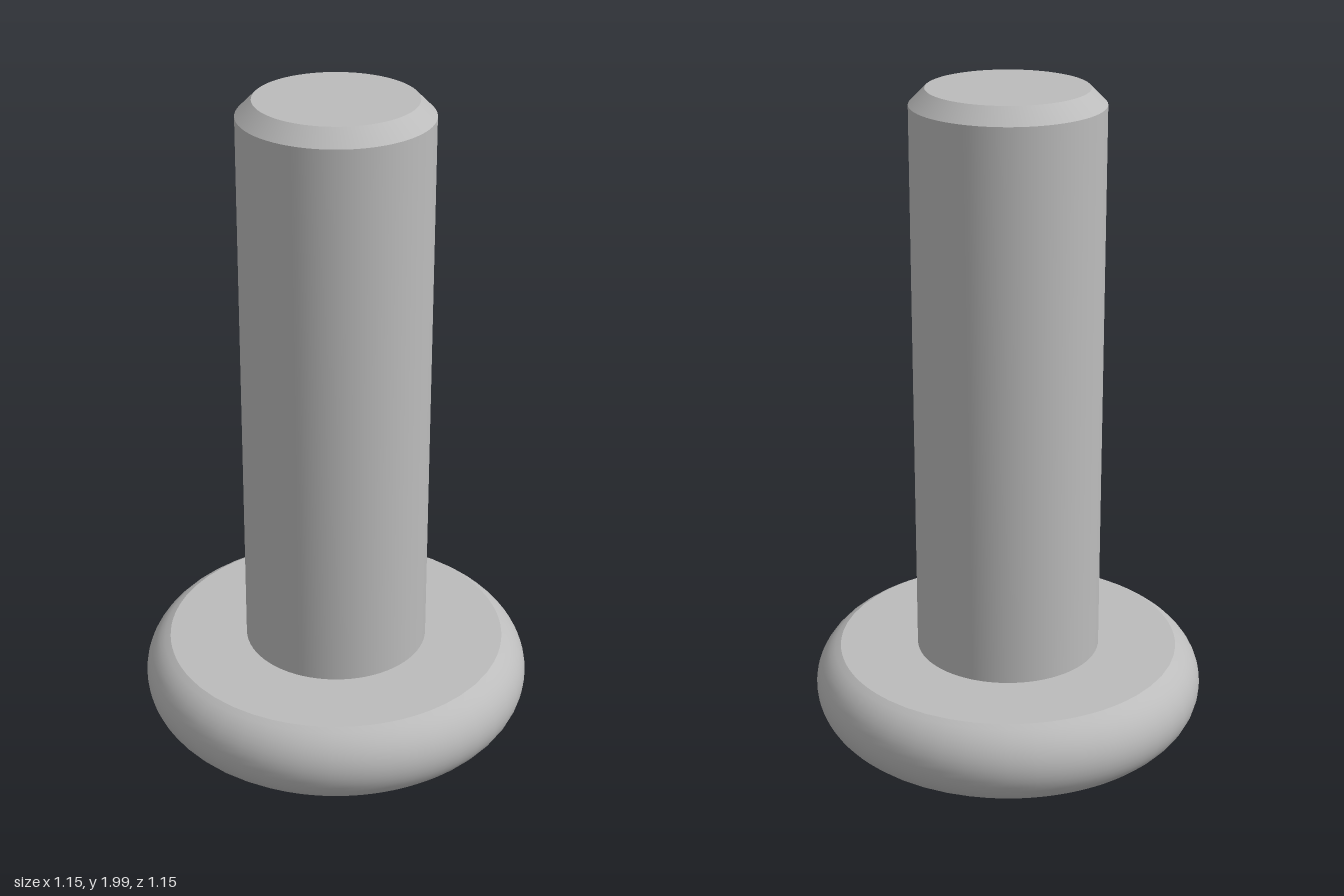
import * as THREE from 'three';
import { toCreasedNormals } from 'three/addons/utils/BufferGeometryUtils.js';

const ARM_LENGTH = 0.32, ARM_HALF = 0.055, FILLET = 0.115;
const CORE = ARM_HALF + FILLET;
const DOME_RADIUS = 1.408, RECESS_DEPTH = 0.25;
const SHANK_RADIUS = 0.27, HEAD_TOP = 0.33;
const CREASE = 0.35;

const domeY = (r) => DOME_RADIUS - Math.sqrt(DOME_RADIUS ** 2 - r * r);

// Cross-shaped outline in [x, z], four equal quarters with rounded inner corners
function crossOutline() {
  const half = [];
  for (let i = 0; i < 3; i++) half.push([ARM_LENGTH, ARM_HALF * i / 3]);
  for (let i = 0; i < 4; i++) half.push([ARM_LENGTH + (CORE - ARM_LENGTH) * i / 4, ARM_HALF]);
  for (let i = 0; i < 5; i++) {
    const a = i * Math.PI / 20;
    half.push([CORE - FILLET * Math.sin(a), CORE - FILLET * Math.cos(a)]);
  }
  const mirrored = half.slice(1).reverse().map(([x, z]) => [z, x]);
  mirrored.push();
  const middle = [CORE - FILLET * Math.SQRT1_2, CORE - FILLET * Math.SQRT1_2];
  const quarter = [...half, middle, ...mirrored];
  const outline = [];
  for (let q = 0; q < 4; q++) {
    for (const [x, z] of quarter) {
      outline.push([[x, z], [-z, x], [-x, -z], [z, -x]][q]);
    }
  }
  return outline;
}

// Skin a list of closed rows of points
function loft(rows) {
  const n = rows[0].length;
  const index = [];
  for (let r = 0; r < rows.length - 1; r++) {
    for (let i = 0; i < n; i++) {
      const a = r * n + i, b = r * n + (i + 1) % n;
      index.push(a, a + n, b, b, a + n, b + n);
    }
  }
  const geometry = new THREE.BufferGeometry();
  geometry.setAttribute('position', new THREE.Float32BufferAttribute(rows.flat(2), 3));
  geometry.setIndex(index);
  return toCreasedNormals(geometry, CREASE);
}

export function createModel() {
  const group = new THREE.Group();
  const steel = new THREE.MeshStandardMaterial({ color: 0xbcbcbc });
  steel.name = 'steel';
  const add = (name, geometry) => {
    const mesh = new THREE.Mesh(geometry, steel);
    mesh.name = name;
    group.add(mesh);
  };

  const outline = crossOutline();
  const circle = (radius, y) => outline.map(([x, z]) => {
    const k = radius / Math.hypot(x, z);
    return [x * k, y, z * k];
  });
  const rim = outline.map(([x, z]) => [x, domeY(Math.hypot(x, z)), z]);

  // Head: shallow dome around the recess, rounded edge, flat top
  const rimX = 0.4415, rimY = 0.21, rimR = 0.1335;
  const start = -69.6 * Math.PI / 180, end = Math.asin((HEAD_TOP - rimY) / rimR);
  const domeEdge = rimX + rimR * Math.cos(start);
  const headRows = [];
  for (let s = 0; s < 8; s++) {
    headRows.push(outline.map(([x, z]) => {
      const r0 = Math.hypot(x, z), r = r0 + (domeEdge - r0) * s / 8;
      return [x * r / r0, domeY(r), z * r / r0];
    }));
  }
  for (let s = 0; s <= 16; s++) {
    const a = start + (end - start) * s / 16;
    headRows.push(circle(rimX + rimR * Math.cos(a), rimY + rimR * Math.sin(a)));
  }
  headRows.push(circle(SHANK_RADIUS - 0.01, HEAD_TOP));
  add('head', loft(headRows));

  // Cross recess: arm ends slope inward towards the floor
  const taper = (v) => Math.sign(v) * (Math.abs(v) > CORE ? CORE + (Math.abs(v) - CORE) * 0.35 : Math.abs(v));
  const floor = outline.map(([x, z]) => [taper(x), RECESS_DEPTH, taper(z)]);
  add('recessWalls', loft([floor, rim]));
  add('recessFloor', loft([floor.map(([x, y, z]) => [x * 0.02, y, z * 0.02]), floor]));

  // Shank with a chamfered tip
  const profile = [[SHANK_RADIUS, HEAD_TOP], [SHANK_RADIUS, 1.955], [0.225, 2], [0, 2]]
    .map(([x, y]) => new THREE.Vector2(x, y));
  add('shank', toCreasedNormals(new THREE.LatheGeometry(profile, 72), CREASE));

  return group;
}
